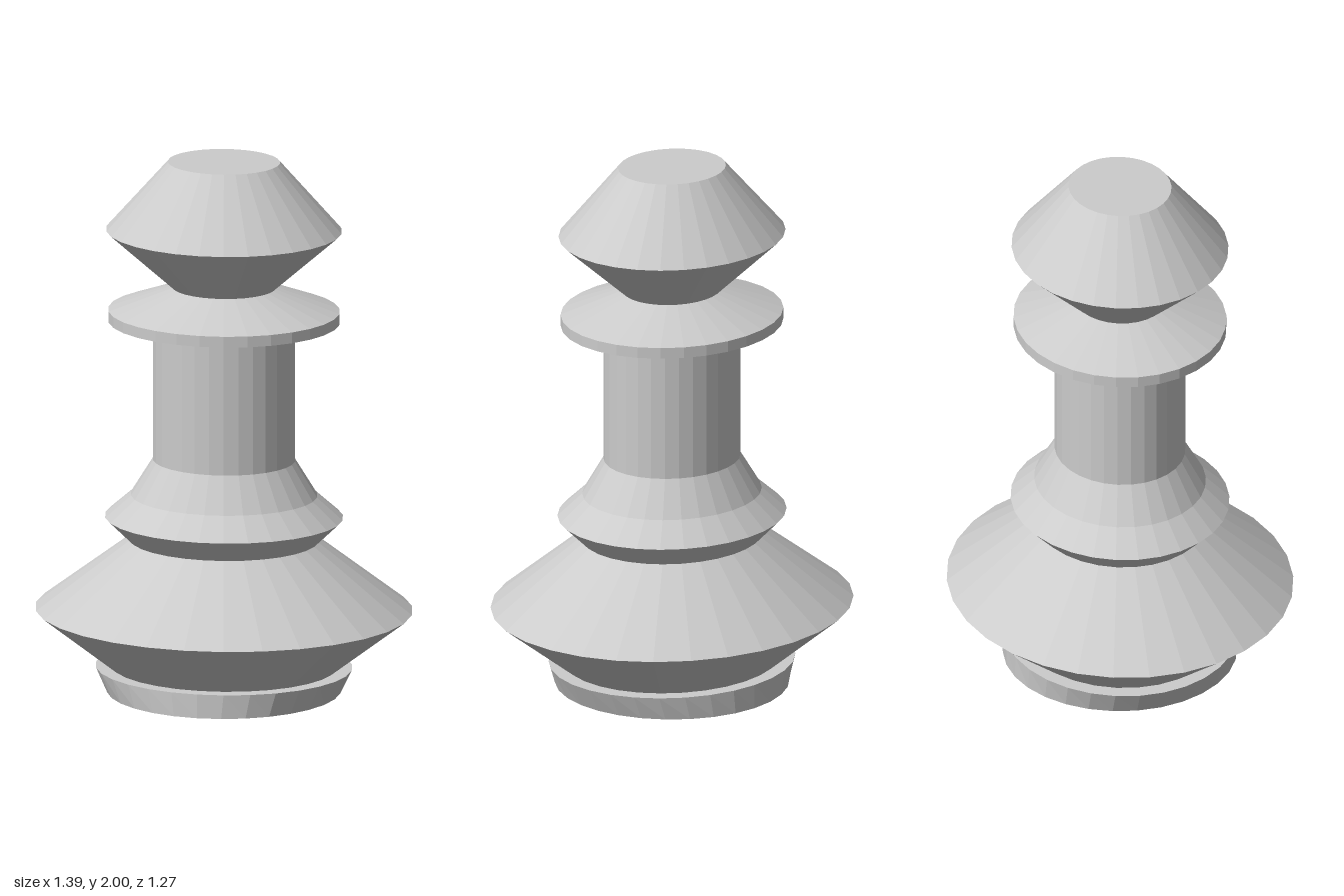
import * as THREE from 'three';

const SIDES = 30;
const DEPTH = 0.908; // every section is an ellipse, narrower front to back

// Each part is a turned profile of [radius, height], from bottom to top.
const parts = {
  foot: [[0, 0], [0.474, 0], [0.474, 0.09], [0.416, 0.09]],
  body: [[0.416, 0.09], [0.697, 0.307], [0.35, 0.57]],
  lowerCollar: [[0.35, 0.57], [0.44, 0.657], [0.345, 0.74], [0.263, 0.873]],
  column: [[0.263, 0.873], [0.263, 1.397]],
  upperCollar: [[0.263, 1.397], [0.428, 1.397], [0.428, 1.438], [0.19, 1.525]],
  head: [[0.19, 1.525], [0.436, 1.742], [0.207, 2], [0, 2]],
};

export function createModel() {
  const group = new THREE.Group();
  group.name = 'turnedPiece';
  const material = new THREE.MeshStandardMaterial({ color: 0xcccccc, flatShading: true });

  for (const [name, profile] of Object.entries(parts)) {
    const points = profile.map(([r, y]) => new THREE.Vector2(r, y));
    const geometry = new THREE.LatheGeometry(points, SIDES);
    geometry.scale(1, 1, DEPTH);

    // The underside of the foot is a true circle, so its sides taper in x only.
    if (name === 'foot') {
      const pos = geometry.attributes.position;
      for (let i = 0; i < pos.count; i++) {
        if (pos.getY(i) === 0) pos.setX(i, pos.getX(i) * DEPTH);
      }
    }
    geometry.computeVertexNormals();

    const mesh = new THREE.Mesh(geometry, material);
    mesh.name = name;
    group.add(mesh);
  }
  return group;
}
